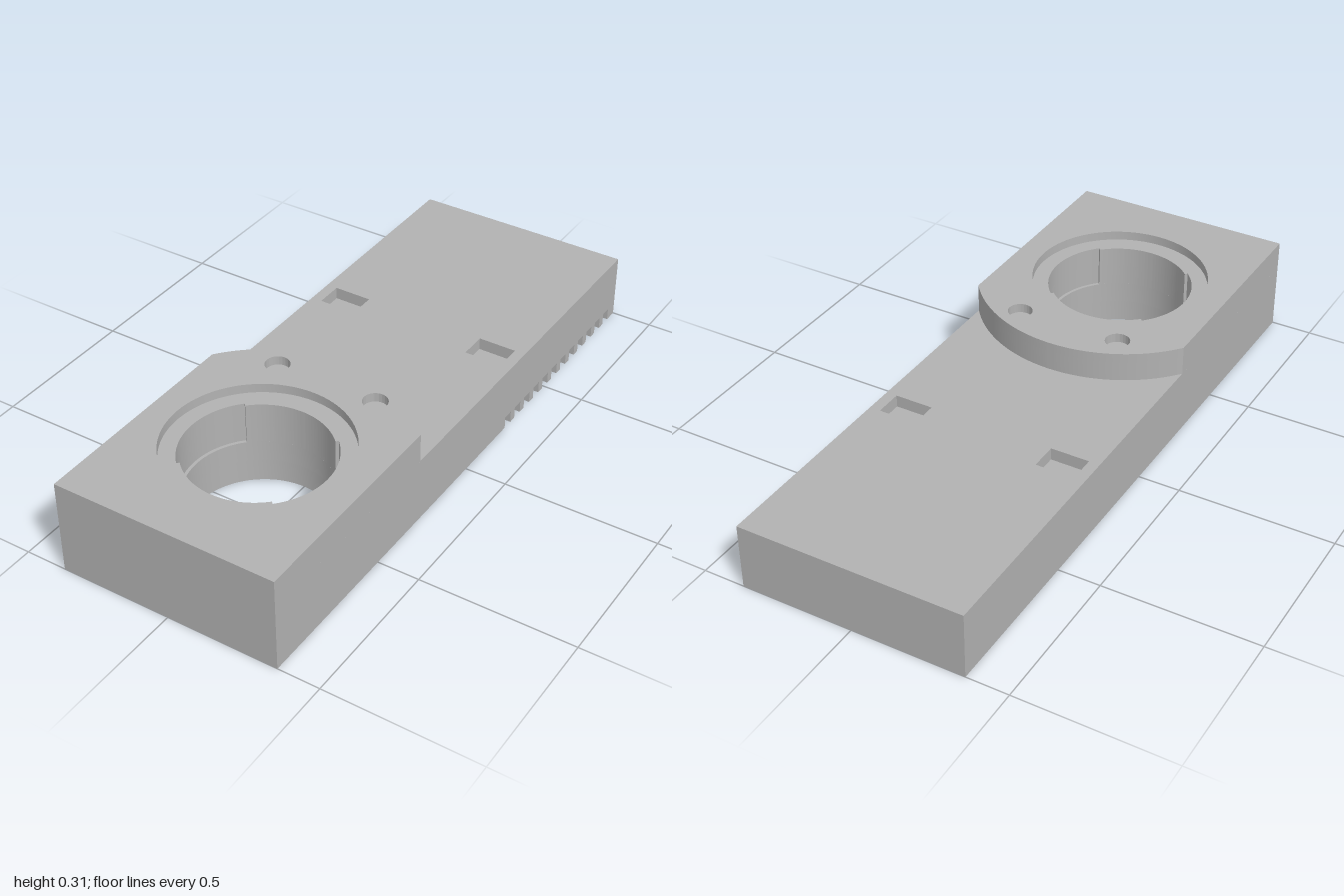
import * as THREE from 'three';
import { toCreasedNormals } from 'three/addons/utils/BufferGeometryUtils.js';

const HALF = 0.365;   // half width
const WALL = 0.06;    // skirt thickness
const CZ = 0.555;     // z of the bore centre
const BORE = 0.222, COLLAR = 0.285;
const CEILING = 0.075, LEDGE = 0.145, DECK = 0.215, SEAT = 0.28, TOP = 0.31;

// Plan shapes are drawn in (x, -z)
const rect = (x0, x1, z0, z1, Type = THREE.Path) => new Type([
  new THREE.Vector2(x0, -z1), new THREE.Vector2(x1, -z1),
  new THREE.Vector2(x1, -z0), new THREE.Vector2(x0, -z0), new THREE.Vector2(x0, -z1),
]);
const circle = (x, z, r, Type = THREE.Path) => new Type().absarc(x, -z, r, 0, Math.PI * 2, false);

// Bore with shallow side grooves
function groovedBore() {
  const p = new THREE.Path();
  for (let i = 0; i < 4; i++) {
    const mid = i * Math.PI / 2;
    p.absarc(0, -CZ, i % 2 ? BORE : BORE + 0.01, mid - Math.PI / 4, mid + Math.PI / 4, false);
  }
  p.closePath();
  return p;
}

// Raised block outline with a rounded back
function bossOutline() {
  const a = Math.atan2(0.28, HALF);
  const s = new THREE.Shape();
  s.moveTo(-HALF, -1);
  s.lineTo(HALF, -1);
  s.absarc(0, -CZ, 0.46, a, Math.PI - a, false);
  s.closePath();
  return s;
}

export function createModel() {
  const group = new THREE.Group();
  const grey = new THREE.MeshStandardMaterial({ color: 0xb2b2b2 });
  grey.name = 'grey';

  const add = (name, geometry) => {
    const mesh = new THREE.Mesh(toCreasedNormals(geometry, 0.5), grey);
    mesh.name = name;
    group.add(mesh);
  };
  // Horizontal slab from y0 to y1
  const slab = (name, shape, holes, y0, y1) => {
    shape.holes.push(...holes);
    const g = new THREE.ExtrudeGeometry(shape, { depth: y1 - y0, bevelEnabled: false, curveSegments: 48 });
    add(name, g.rotateX(-Math.PI / 2).translate(0, y0, 0));
  };
  const plate = () => rect(-HALF, HALF, -1, 1, THREE.Shape);

  // Skirt: three plain walls
  const inner = HALF - WALL;
  slab('rightWall', rect(-HALF, -inner, -1, 1, THREE.Shape), [], 0, CEILING);
  slab('frontWall', rect(-inner, inner, 1 - WALL, 1, THREE.Shape), [], 0, CEILING);
  slab('backWall', rect(-inner, inner, -1, -1 + WALL, THREE.Shape), [], 0, CEILING);

  // Skirt: wall with a row of notches, drawn in (-z, y)
  const side = new THREE.Shape();
  side.moveTo(-1, CEILING);
  side.lineTo(-1, 0);
  for (let i = 0; i < 12; i++) {
    const u = 0.241 + i * 0.0616;
    side.lineTo(u, 0);
    side.lineTo(u, 0.04);
    side.lineTo(u + 0.036, 0.04);
    side.lineTo(u + 0.036, 0);
  }
  side.lineTo(1, 0);
  side.lineTo(1, CEILING);
  side.closePath();
  add('notchedWall', new THREE.ExtrudeGeometry(side, { depth: WALL, bevelEnabled: false })
    .rotateY(Math.PI / 2).translate(inner, 0, 0));

  // Collar under the plate
  slab('collar', circle(0, CZ, COLLAR, THREE.Shape), [circle(0, CZ, BORE)], 0, CEILING);

  // Main plate, with two blind pockets in its upper layer
  const pockets = [rect(0.205, 0.33, -0.35, -0.26), rect(-0.33, -0.205, -0.35, -0.26)];
  slab('plateBottom', plate(), [circle(0, CZ, BORE)], CEILING, LEDGE);
  slab('plateMiddle', plate(), [groovedBore()], LEDGE, 0.175);
  slab('plateTop', plate(), [groovedBore(), ...pockets], 0.175, DECK);

  // Raised block with a recessed seat and two blind round holes
  slab('raisedBlock', bossOutline(), [groovedBore()], DECK, SEAT);
  slab('raisedRim', bossOutline(),
    [circle(0, CZ, 0.283), circle(0.172, 0.21, 0.039), circle(-0.172, 0.21, 0.039)], SEAT, TOP);

  return group;
}
